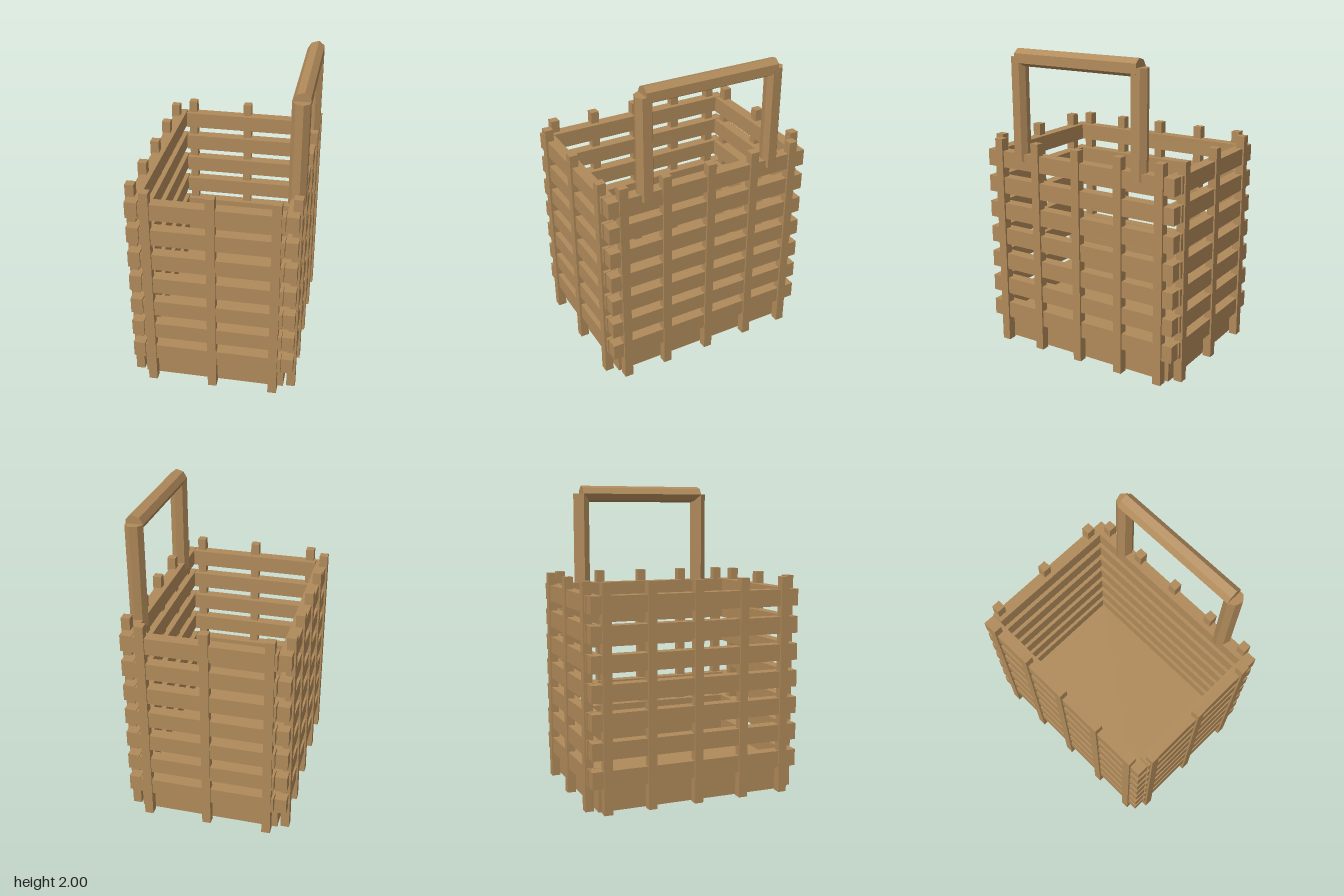
import * as THREE from 'three';

const wood = new THREE.MeshStandardMaterial({ color: 0xb08a5a });
wood.name = 'wood';

// Box given by its extents on each axis
function box(name, [x0, x1], [y0, y1], [z0, z1]) {
  const geo = new THREE.BoxGeometry(x1 - x0, y1 - y0, z1 - z0);
  const mesh = new THREE.Mesh(geo, wood);
  mesh.position.set((x0 + x1) / 2, (y0 + y1) / 2, (z0 + z1) / 2);
  mesh.name = name;
  return mesh;
}

function post(name, x, z) {
  const h = 0.028;
  return box(name, [x - h, x + h], [0, 1.41], [z - h, z + h]);
}

// Handle bars share one uneven seven-sided section
const section = new THREE.Shape([
  [-0.058, 0], [-0.036, -0.042], [0.014, -0.055], [0.052, -0.033],
  [0.05, 0.026], [0.014, 0.055], [-0.034, 0.04],
].map(([x, y]) => new THREE.Vector2(x, y)));

function bar(name, length, tilt, y, z) {
  const geo = new THREE.ExtrudeGeometry(section, { depth: length, bevelEnabled: false });
  geo.rotateX(tilt);
  const mesh = new THREE.Mesh(geo, wood);
  mesh.position.set(0.481, y, z);
  mesh.name = name;
  return mesh;
}

export function createModel() {
  const crate = new THREE.Group();
  crate.name = 'slattedCrate';

  // Solid floor block
  crate.add(box('base', [-0.465, 0.455], [0, 0.18], [-0.64, 0.635]));

  // Seven rows of slats on all four sides
  const slats = new THREE.Group();
  slats.name = 'slats';
  for (let i = 0; i < 7; i++) {
    const y = 0.22 + i * 0.176;
    const span = [y - 0.054, y + 0.054];
    slats.add(
      box('frontSlat', [-0.445, 0.44], span, [0.622, 0.698]),
      box('backSlat', [-0.445, 0.44], span, [-0.703, -0.627]),
      box('rightSlat', [-0.528, -0.451], span, [-0.695, 0.692]),
      box('leftSlat', [0.443, 0.519], span, [-0.695, 0.692]),
    );
  }
  crate.add(slats);

  // Upright posts set into the outer faces of the slats
  const posts = new THREE.Group();
  posts.name = 'posts';
  for (const x of [-0.402, -0.005, 0.39]) {
    posts.add(post('frontPost', x, 0.683), post('backPost', x, -0.685));
  }
  for (const z of [-0.597, -0.31, -0.001, 0.308, 0.595]) {
    posts.add(post('rightPost', -0.511, z), post('leftPost', 0.503, z));
  }
  crate.add(posts);

  // Push handle on the left side
  const handle = new THREE.Group();
  handle.name = 'handle';
  handle.add(
    bar('handleGrip', 0.88, 0, 1.942, -0.441),
    bar('frontHandleUpright', 0.662, Math.PI / 2, 1.942, 0.439),
    bar('backHandleUpright', 0.662, -Math.PI / 2, 1.28, -0.44),
  );
  crate.add(handle);

  return crate;
}
